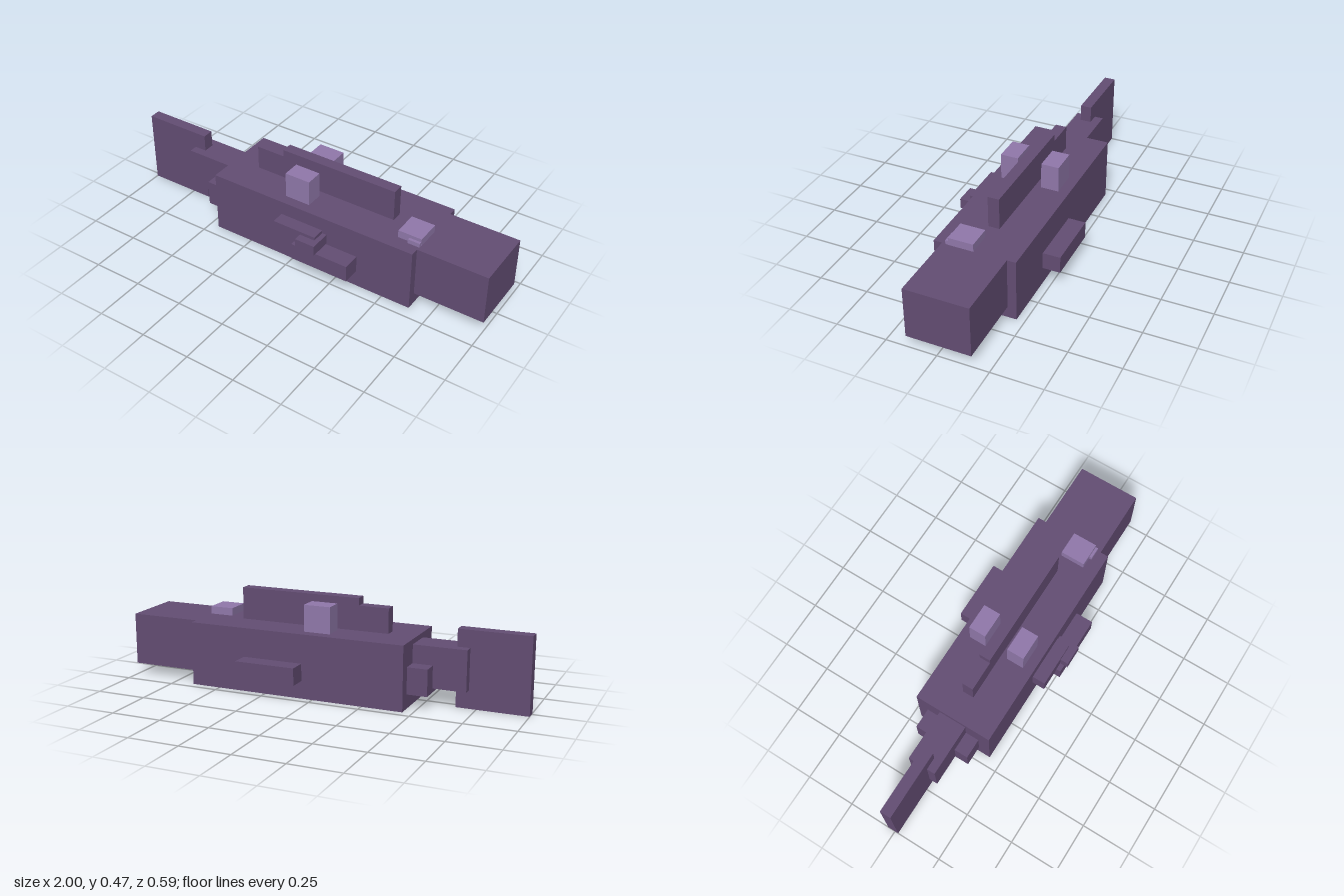
import * as THREE from 'three';

export function createModel() {
  const group = new THREE.Group();
  group.name = 'blockFish';

  const dark = new THREE.MeshStandardMaterial({ color: 0x634d73 });
  dark.name = 'dark purple';
  const light = new THREE.MeshStandardMaterial({ color: 0x9078aa });
  light.name = 'light purple';

  // Box given by its extents along x, y and z
  const block = (name, material, [x0, x1], [y0, y1], [z0, z1]) => {
    const mesh = new THREE.Mesh(new THREE.BoxGeometry(x1 - x0, y1 - y0, z1 - z0), material);
    mesh.position.set((x0 + x1) / 2, (y0 + y1) / 2, (z0 + z1) / 2);
    mesh.name = name;
    group.add(mesh);
  };

  // Body and head
  block('body', dark, [-0.453, 0.646], [0, 0.315], [-0.21, 0.19]);
  block('head', dark, [0.646, 1], [0.058, 0.315], [-0.167, 0.148]);

  // Tail, tapering from the body to a tall thin fin
  block('tailRoot', dark, [-0.552, -0.453], [0.07, 0.2], [-0.156, 0.13]);
  block('tailStem', dark, [-0.714, -0.453], [0.09, 0.29], [-0.082, 0.06]);
  block('tailFin', dark, [-1, -0.652], [0, 0.375], [-0.038, 0.018]);

  // Stepped fin along the back
  block('backFin', dark, [-0.166, 0.45], [0.315, 0.473], [-0.038, 0.018]);
  block('backFinStep', dark, [-0.316, -0.166], [0.315, 0.437], [-0.038, 0.018]);

  // Pair of pale knobs beside the back fin
  for (const z of [-0.114, 0.095]) {
    block('paleKnob', light, [-0.069, 0.063], [0.315, 0.445], [z - 0.044, z + 0.044]);
  }

  // Low pale patch near the head
  block('palePatch', light, [0.53, 0.65], [0.315, 0.353], [-0.008, 0.116]);
  block('palePatchEdge', light, [0.588, 0.649], [0.315, 0.336], [0.1, 0.13]);

  // Side fins, with extra steps on the front side
  block('leftSideFin', dark, [0.055, 0.36], [0.087, 0.172], [0.19, 0.279]);
  block('rightSideFin', dark, [0.055, 0.36], [0.087, 0.172], [-0.297, -0.21]);
  block('sideFinUpper', dark, [-0.06, 0.17], [0.16, 0.244], [0.19, 0.256]);
  block('sideFinTip', dark, [0.09, 0.194], [0.177, 0.228], [0.19, 0.297]);

  return group;
}
